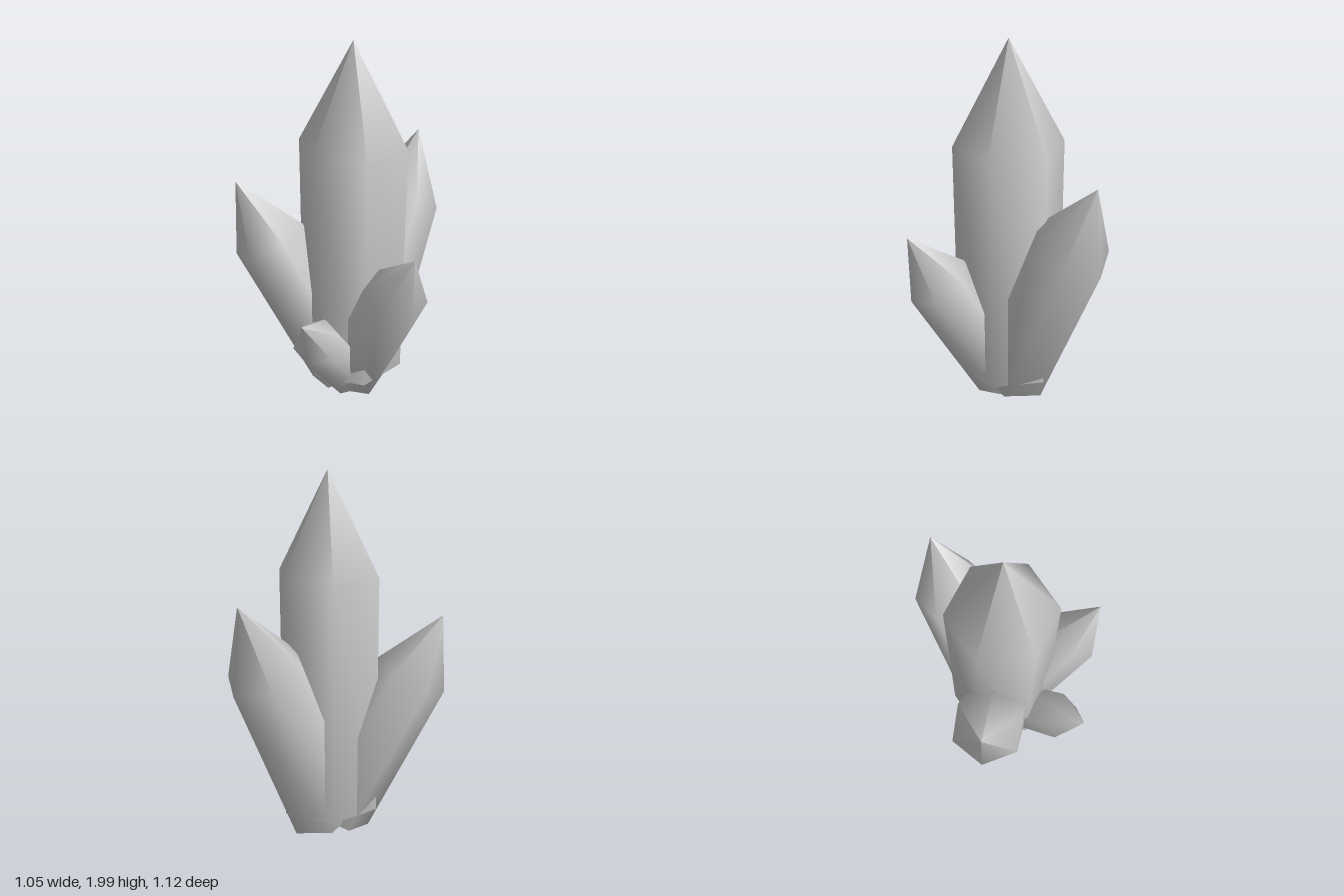
import * as THREE from 'three';

// Every crystal grows out of one shared root point.
const ROOT = new THREE.Vector3(0.063, 0.04, 0);

// Six-sided crystal: blunt lower point, straight shaft, long upper point.
function crystal(name, tip, material, azimuth) {
  const d = new THREE.Vector3(...tip).sub(ROOT);
  const length = d.length();
  const profile = [[0, 0], [0.1454, 0.0714], [0.1454, 0.73], [0, 1]]
    .map(([r, y]) => new THREE.Vector2(r * length, y * length));
  const mesh = new THREE.Mesh(new THREE.LatheGeometry(profile, 6), material);
  mesh.name = name;
  mesh.position.copy(ROOT);
  // Lean outward, with one ridge facing the lean direction
  mesh.rotation.order = 'YXZ';
  mesh.rotation.x = Math.acos(d.y / length);
  mesh.rotation.y = azimuth ?? Math.atan2(d.x, d.z);
  return mesh;
}

export function createModel() {
  const group = new THREE.Group();
  group.name = 'crystalCluster';
  const stone = new THREE.MeshStandardMaterial({ color: 0xcccccc });
  stone.name = 'grey crystal';

  group.add(
    crystal('mainCrystal', [0.063, 2, 0], stone, Math.PI / 2),
    crystal('rightCrystal', [-0.51, 1.27, 0.177], stone),
    crystal('backCrystal', [0.295, 1.39, -0.525], stone),
    crystal('frontLeftCrystal', [0.48, 1.07, 0.38], stone),
    crystal('frontCrystal', [-0.034, 0.71, 0.56], stone),
  );
  return group;
}
